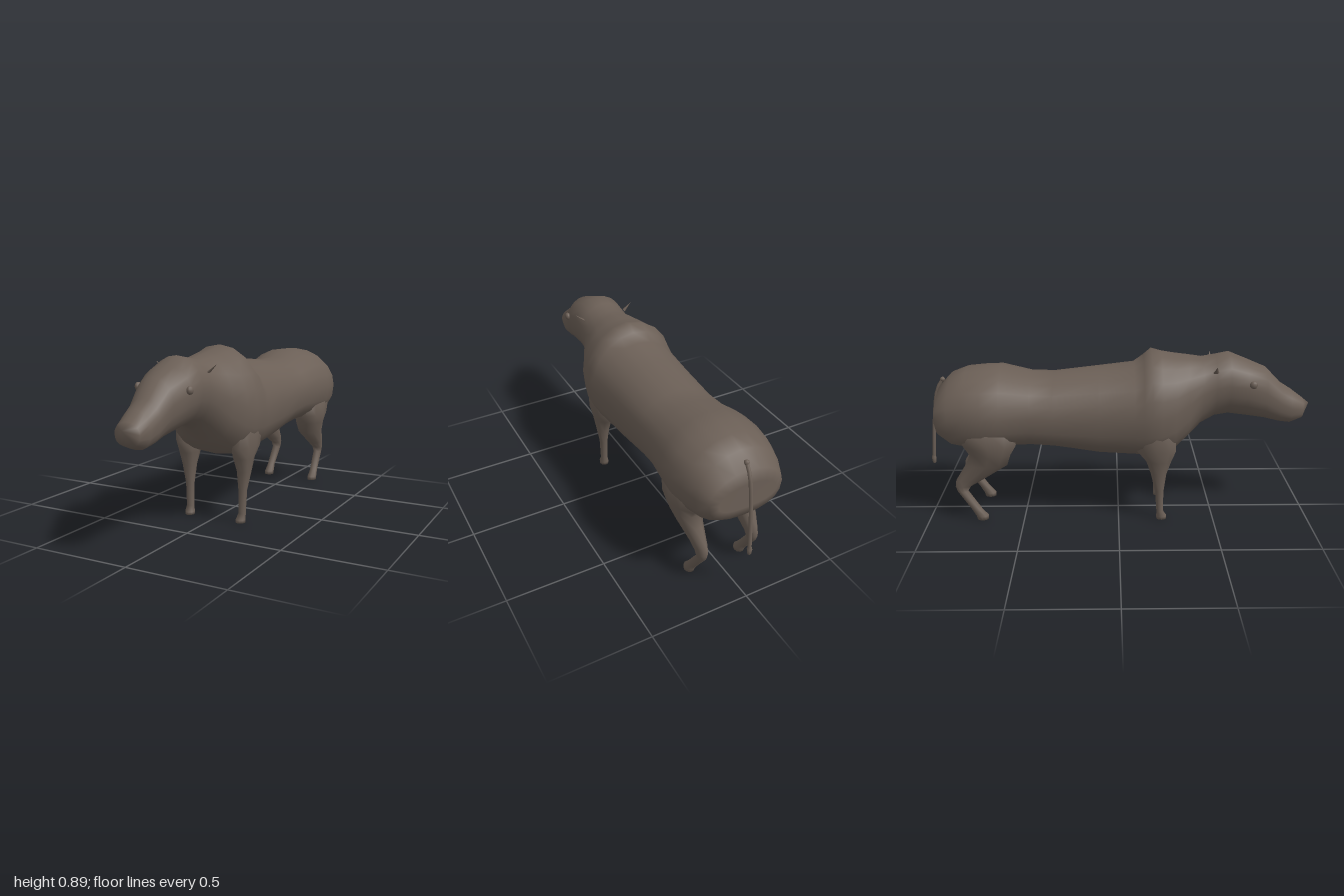
import * as THREE from 'three';

const hide = new THREE.MeshStandardMaterial({ color: 0x6b5f56 });
hide.name = 'greyBrownHide';

// Skins a list of equal-length rings into one smooth closed surface.
function loft(rings, startTip, endTip) {
  const n = rings[0].length, pos = [], idx = [];
  for (const ring of rings) for (const p of ring) pos.push(...p);
  const last = (rings.length - 1) * n, s = rings.length * n;
  pos.push(...startTip, ...endTip);
  for (let j = 0; j < n; j++) {
    const k = (j + 1) % n;
    for (let i = 0; i < last; i += n) {
      idx.push(i + j, i + k, i + n + j, i + k, i + n + k, i + n + j);
    }
    idx.push(s, k, j, s + 1, last + j, last + k);
  }
  const geo = new THREE.BufferGeometry();
  geo.setAttribute('position', new THREE.Float32BufferAttribute(pos, 3));
  geo.setIndex(idx);
  geo.computeVertexNormals();
  return geo;
}

// Upright cross-section: round above the widest height, fuller below it.
function bodyRing([z, top, bottom, halfWidth, mid, power = 0.8]) {
  return Array.from({ length: 20 }, (_, j) => {
    const a = (j / 20) * Math.PI * 2, c = Math.cos(a), s = Math.sin(a);
    const p = s < -1e-6 ? power : 1;
    const shape = (v) => Math.sign(v) * Math.pow(Math.abs(v), p);
    return [halfWidth * shape(c), mid + (s > 0 ? top - mid : mid - bottom) * shape(s), z];
  });
}

// Level cross-section of a leg: height, centre x, half width, back z, front z.
function legRing([y, x, rx, back, front]) {
  return Array.from({ length: 10 }, (_, j) => {
    const a = (j / 10) * Math.PI * 2;
    return [x + rx * Math.cos(a), y, (back + front) / 2 - ((front - back) / 2) * Math.sin(a)];
  });
}

function legGeometry(rows) {
  const centre = ([y, x, , back, front]) => [x, y, (back + front) / 2];
  return loft(rows.map(legRing), centre(rows[0]), centre(rows[rows.length - 1]));
}

// z, top, bottom, half width, widest height
const bodyRows = [
  [-0.94, 0.64, 0.51, 0.15, 0.57],
  [-0.925, 0.70, 0.455, 0.19, 0.58],
  [-0.86, 0.77, 0.405, 0.22, 0.58],
  [-0.78, 0.80, 0.39, 0.242, 0.59],
  [-0.69, 0.808, 0.39, 0.255, 0.59],
  [-0.60, 0.812, 0.40, 0.248, 0.59],
  [-0.45, 0.775, 0.40, 0.225, 0.59],
  [-0.33, 0.772, 0.39, 0.22, 0.58],
  [-0.10, 0.80, 0.352, 0.226, 0.58],
  [0.08, 0.822, 0.342, 0.236, 0.58],
  [0.13, 0.86, 0.34, 0.243, 0.58],
  [0.17, 0.895, 0.34, 0.247, 0.59],
  [0.22, 0.88, 0.345, 0.243, 0.59],
  [0.29, 0.868, 0.37, 0.225, 0.61],
  [0.36, 0.86, 0.435, 0.185, 0.65],
  [0.43, 0.85, 0.50, 0.15, 0.69, 1],
  [0.50, 0.862, 0.54, 0.142, 0.72, 1],
  [0.57, 0.876, 0.552, 0.143, 0.73, 1],
  [0.66, 0.838, 0.54, 0.14, 0.72, 1],
  [0.76, 0.797, 0.525, 0.105, 0.68, 0.9],
  [0.84, 0.715, 0.507, 0.088, 0.62],
  [0.90, 0.677, 0.499, 0.08, 0.59],
  [0.96, 0.632, 0.525, 0.066, 0.58],
];

const foreLegRows = [
  [0.005, 0.15, 0.025, 0.20, 0.255],
  [0.02, 0.15, 0.025, 0.20, 0.255],
  [0.05, 0.153, 0.02, 0.20, 0.235],
  [0.17, 0.155, 0.022, 0.19, 0.237],
  [0.27, 0.16, 0.036, 0.165, 0.25],
  [0.34, 0.158, 0.05, 0.14, 0.275],
  [0.40, 0.16, 0.063, 0.09, 0.30],
  [0.55, 0.165, 0.07, 0.08, 0.29],
];

const hindLegRows = [
  [0.005, 0.145, 0.026, -0.75, -0.69],
  [0.025, 0.145, 0.026, -0.755, -0.69],
  [0.06, 0.145, 0.021, -0.775, -0.72],
  [0.165, 0.14, 0.024, -0.845, -0.79],
  [0.195, 0.14, 0.027, -0.855, -0.77],
  [0.23, 0.14, 0.033, -0.85, -0.71],
  [0.32, 0.145, 0.058, -0.795, -0.57],
  [0.38, 0.15, 0.075, -0.77, -0.55],
  [0.43, 0.155, 0.082, -0.80, -0.52],
  [0.55, 0.16, 0.08, -0.85, -0.50],
];

export function createModel() {
  const group = new THREE.Group();
  const add = (name, geo, x = 0, y = 0, z = 0) => {
    const mesh = new THREE.Mesh(geo, hide);
    mesh.name = name;
    mesh.position.set(x, y, z);
    group.add(mesh);
    return mesh;
  };

  // Rump, trunk, shoulder hump, neck and head in one skin
  add('body', loft(bodyRows.map(bodyRing), [0, 0.58, -0.915], [0, 0.6, 1]));

  // Paired parts
  for (const [side, label] of [[1, 'left'], [-1, 'right']]) {
    const mirror = (rows) => rows.map(([y, x, ...rest]) => [y, x * side, ...rest]);
    add(label + 'ForeLeg', legGeometry(mirror(foreLegRows)));
    add(label + 'HindLeg', legGeometry(mirror(hindLegRows)));
    add(label + 'Eye', new THREE.SphereGeometry(0.02, 12, 8), side * 0.138, 0.738, 0.68)
      .scale.x = 0.75;
    // Tiny pointed ear
    const ear = add(label + 'Ear', new THREE.ConeGeometry(0.016, 0.06, 5), side * 0.145, 0.817, 0.49);
    ear.scale.x = 0.35;
    ear.rotation.z = -side * 0.85;
  }

  // Hanging tail with a small tuft
  const path = new THREE.CatmullRomCurve3([
    [0, 0.74, -0.905], [0, 0.68, -0.94], [0, 0.52, -0.968], [0, 0.30, -0.988],
  ].map((p) => new THREE.Vector3(...p)));
  add('tail', new THREE.TubeGeometry(path, 10, 0.009, 8));
  add('tailRoot', new THREE.SphereGeometry(0.013, 8, 6), 0, 0.735, -0.908);
  const tuft = [[0, -0.035], [0.009, -0.03], [0.013, -0.002], [0, 0.04]]
    .map((p) => new THREE.Vector2(...p));
  add('tailTuft', new THREE.LatheGeometry(tuft, 8), 0, 0.3, -0.988);
  return group;
}
